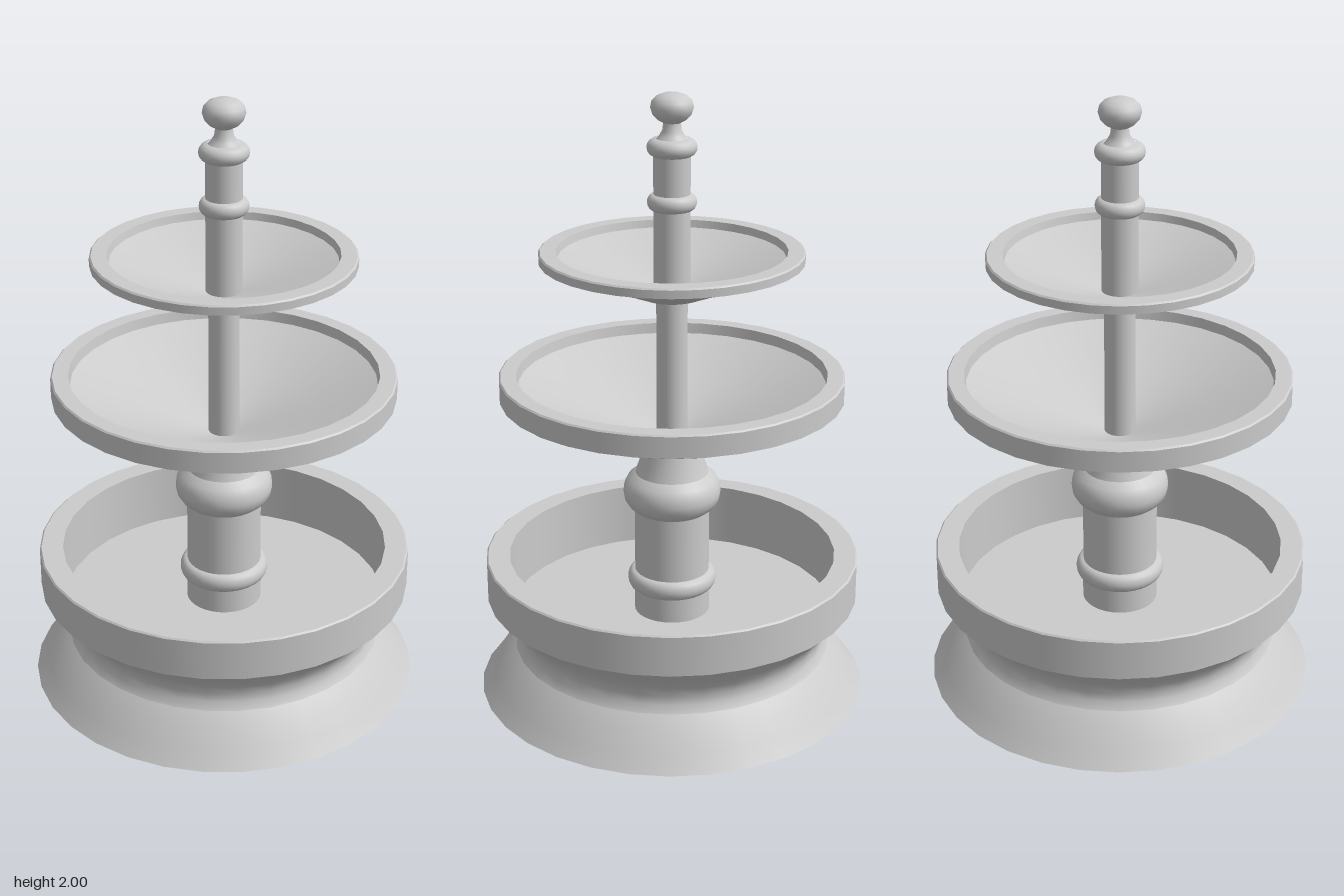
import * as THREE from 'three';
import { mergeGeometries } from 'three/addons/utils/BufferGeometryUtils.js';

const SIDES = 32;
const material = new THREE.MeshStandardMaterial({ color: 0xcccccc });

// Each run is a smooth [radius, height] profile; a new run begins a sharp edge.
function turned(name, runs) {
  const parts = runs.map((run) =>
    new THREE.LatheGeometry(run.map(([r, y]) => new THREE.Vector2(r, y)), SIDES));
  const mesh = new THREE.Mesh(mergeGeometries(parts), material);
  mesh.name = name;
  return mesh;
}

// Half-round moulding around a column of radius r, centred on height y.
function ring(r, y, out, half) {
  const points = [];
  for (let i = 0; i <= 8; i++) {
    const a = -Math.PI / 2 + (i / 8) * Math.PI;
    points.push([r + out * Math.cos(a), y + half * Math.sin(a)]);
  }
  return points;
}

// Shallow dish: underside, upright rim, lip, inner wall and sloping inside.
function dish(name, { stem, bottom, under, outer, inner, rimLow, top, drop, floor }) {
  return turned(name, [
    [[0, bottom], [stem, bottom]],
    [[stem, bottom], ...under, [outer, rimLow]],
    [[outer, rimLow], [outer, top - 0.005]],
    [[outer, top - 0.005], [outer - 0.005, top]],
    [[outer - 0.005, top], [inner, top]],
    [[inner, top], [inner - 0.005, top - drop]],
    [[inner - 0.005, top - drop], [inner * 0.55, floor + (top - drop - floor) * 0.48], [0.03, floor]],
  ]);
}

export function createModel() {
  const model = new THREE.Group();
  model.name = 'tieredFountain';

  // Flared foot, waist and the main basin
  model.add(turned('base', [
    [[0, 0], [0.645, 0]],
    [[0.645, 0], [0.605, 0.052], [0.57, 0.105], [0.528, 0.15]],
    [[0.528, 0.15], [0.513, 0.175], [0.512, 0.205], [0.522, 0.235], [0.545, 0.265], [0.58, 0.3], [0.617, 0.335]],
    [[0.617, 0.335], [0.617, 0.467]],
    [[0.617, 0.467], [0.612, 0.472]],
    [[0.612, 0.472], [0.54, 0.472]],
    [[0.54, 0.472], [0.54, 0.26]],
    [[0.54, 0.26], [0, 0.26]],
  ]));

  // Pedestal with a low ring and a bulging collar
  model.add(turned('pedestal', [
    [[0.125, 0.26], [0.125, 0.345]],
    ring(0.123, 0.375, 0.024, 0.032),
    [[0.123, 0.4], [0.123, 0.625]],
    [[0.123, 0.625], [0.142, 0.64], [0.156, 0.662], [0.16, 0.685], [0.157, 0.71], [0.145, 0.735], [0.12, 0.755]],
    [[0.12, 0.755], [0.106, 0.795], [0.095, 0.84]],
  ]));

  model.add(dish('middleDish', {
    stem: 0.09, bottom: 0.835, under: [[0.21, 0.883], [0.38, 0.953]],
    outer: 0.556, inner: 0.5, rimLow: 1.027, top: 1.1, drop: 0.035, floor: 0.88,
  }));

  model.add(turned('middleColumn', [[[0.05, 0.86], [0.05, 1.36]]]));

  model.add(dish('topDish', {
    stem: 0.05, bottom: 1.34, under: [[0.1, 1.356], [0.2, 1.398], [0.32, 1.442]],
    outer: 0.42, inner: 0.365, rimLow: 1.475, top: 1.506, drop: 0.025, floor: 1.37,
  }));

  // Upper column with two rings
  model.add(turned('upperColumn', [
    [[0.058, 1.36], [0.058, 1.81]],
    ring(0.056, 1.66, 0.022, 0.026),
    ring(0.05, 1.832, 0.029, 0.028),
  ]));

  // Finial: concave neck carrying a flattened ball
  model.add(turned('finial', [
    [[0.052, 1.855], [0.04, 1.868], [0.03, 1.885], [0.027, 1.908]],
    [[0.027, 1.908], [0.045, 1.918], [0.06, 1.934], [0.067, 1.955], [0.063, 1.974], [0.049, 1.989], [0.027, 1.998], [0, 2]],
  ]));

  return model;
}
